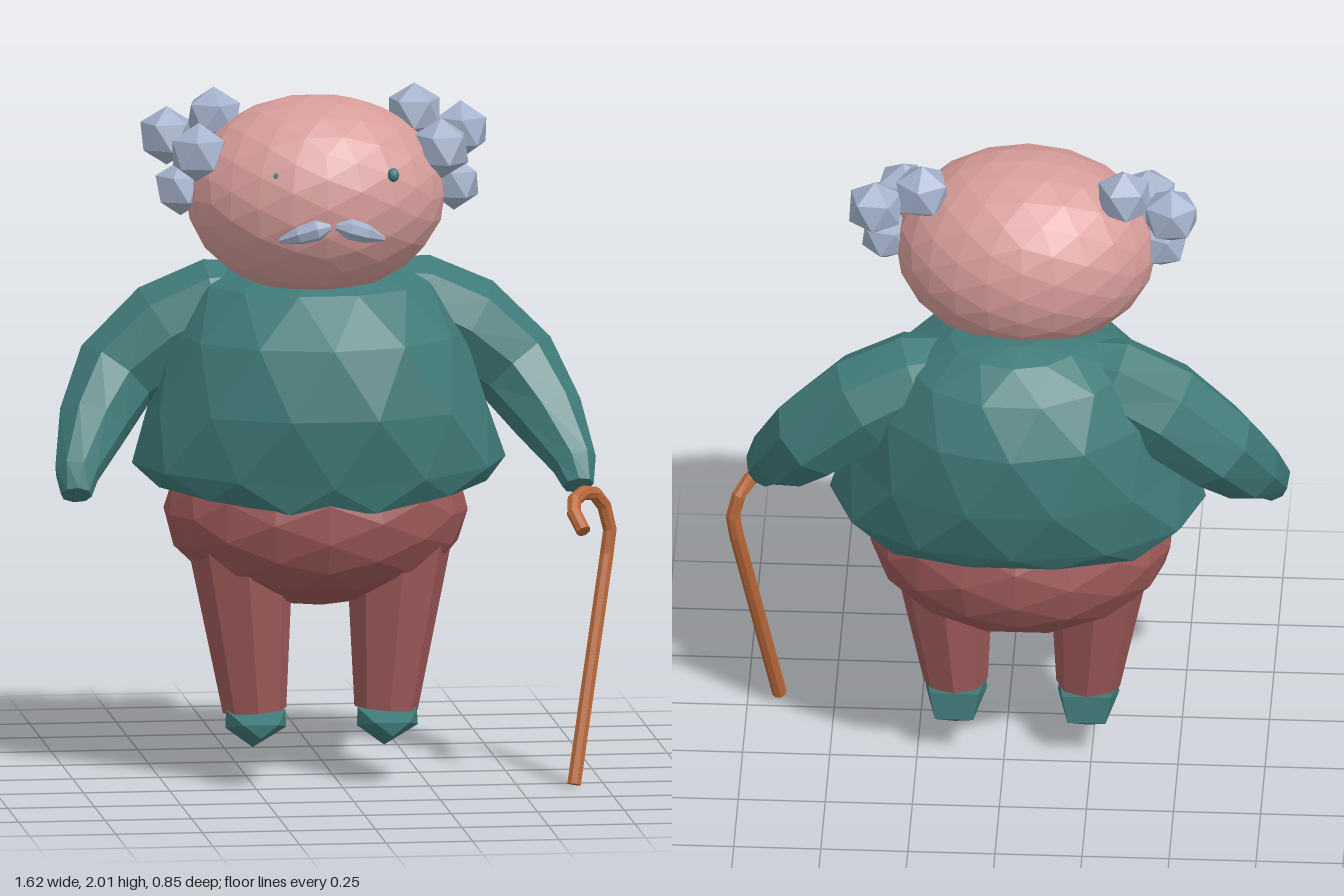
import * as THREE from 'three';
import { ConvexGeometry } from 'three/addons/geometries/ConvexGeometry.js';

const V = (x, y, z) => new THREE.Vector3(x, y, z);
const CX = -0.04; // the figure's own middle line

// Skin a list of equal-length rings, closing both ends
function skin(rings) {
  const n = rings[0].length, pos = [], idx = [];
  const mid = r => r.reduce((s, p) => s.add(p), V(0, 0, 0)).divideScalar(n);
  for (const r of rings) for (const p of r) pos.push(p.x, p.y, p.z);
  for (const c of [mid(rings[0]), mid(rings.at(-1))]) pos.push(c.x, c.y, c.z);
  const last = rings.length - 1, c0 = n * rings.length;
  for (let i = 0; i < n; i++) {
    const j = (i + 1) % n;
    for (let k = 0; k < last; k++) {
      const a = k * n, b = a + n;
      idx.push(a + i, a + j, b + i, a + j, b + j, b + i);
    }
    idx.push(c0, j, i, c0 + 1, last * n + i, last * n + j);
  }
  const g = new THREE.BufferGeometry();
  g.setAttribute('position', new THREE.Float32BufferAttribute(pos, 3));
  g.setIndex(idx);
  const flat = g.toNonIndexed();
  flat.computeVertexNormals();
  return flat;
}

// Tapered tube through [x, y, z, radius] points
function limb(pts, sides, ref = V(0, 0, 1)) {
  const p = pts.map(q => V(q[0], q[1], q[2]));
  return skin(p.map((c, k) => {
    const d = p[Math.min(k + 1, p.length - 1)].clone().sub(p[Math.max(k - 1, 0)]).normalize();
    const u = ref.clone().cross(d).normalize(), v = d.clone().cross(u);
    return Array.from({ length: sides }, (_, i) => {
      const a = i / sides * Math.PI * 2;
      return c.clone().addScaledVector(u, Math.cos(a) * pts[k][3]).addScaledVector(v, Math.sin(a) * pts[k][3]);
    });
  }));
}

export function createModel() {
  const model = new THREE.Group();
  const mat = (name, color) => {
    const m = new THREE.MeshStandardMaterial({ color, flatShading: true });
    m.name = name;
    return m;
  };
  const teal = mat('teal cloth', 0x3f7a78);
  const skinTone = mat('skin', 0xd69c99);
  const red = mat('trouser red', 0x9c5858);
  const grey = mat('grey hair', 0xa3b1ca);
  const wood = mat('cane wood', 0xb8683a);
  const add = (name, geo, material, x = 0, y = 0, z = 0) => {
    const m = new THREE.Mesh(geo, material);
    m.name = name;
    m.position.set(x, y, z);
    model.add(m);
    return m;
  };

  // Jumper: rings of [y, half width, front z, back z, hem lift], each turned half a step
  const N = 12;
  const rings = [
    [0.86, 0.36, 0.25, -0.25, 0], [0.785, 0.49, 0.35, -0.33, 0.07], [0.88, 0.54, 0.38, -0.37, 0.03],
    [1.08, 0.49, 0.42, -0.425, 0], [1.28, 0.42, 0.38, -0.43, 0], [1.42, 0.33, 0.25, -0.36, 0],
    [1.5, 0.19, 0.06, -0.27, 0], [1.525, 0.07, -0.09, -0.19, 0],
  ].map(([y, rx, zf, zb, lift], k) => Array.from({ length: N }, (_, i) => {
    const a = (i + k / 2) / N * Math.PI * 2, s = Math.sin(a);
    const up = lift * Math.max(Math.abs(Math.cos(a)), s);
    return V(CX + rx * Math.cos(a), y + up, (zf + zb) / 2 - s * (zf - zb) / 2);
  }));
  add('jumper', skin(rings), teal);

  // Head
  add('head', new THREE.IcosahedronGeometry(1, 3), skinTone, -0.06, 1.695, 0.088).scale.set(0.375, 0.288, 0.3);

  // Trouser seat
  add('trouserSeat', new THREE.IcosahedronGeometry(1, 2), red, -0.05, 0.77, 0.015).scale.set(0.44, 0.28, 0.345);

  // Curl geometry with one corner pointing up
  const curl = new THREE.IcosahedronGeometry(1, 0).rotateZ(-0.5536);

  for (const s of [-1, 1]) {
    const side = s > 0 ? 'left' : 'right';

    // Sleeve, bent at the elbow and tapering to the hand
    add(side + 'Arm', limb([
      [0.16, 1.38, -0.08, 0.1], [0.28, 1.355, -0.09, 0.135], [0.43, 1.28, -0.11, 0.145],
      [0.58, 1.15, -0.1, 0.13], [0.66, 1.02, 0.0, 0.105], [0.72, 0.9, 0.125, 0.065], [0.725, 0.845, 0.165, 0.045],
    ].map(([x, y, z, r]) => [-0.035 + s * x, y, z, r]), 8), teal);

    // Trouser leg
    add(side + 'Leg', limb([
      [-0.047 + s * 0.19, 0.2, 0.1, 0.092], [-0.047 + s * 0.235, 0.78, 0.08, 0.165],
    ], 8), red);

    // Shoe
    const shoe = [];
    for (const m of [-1, 1]) shoe.push(
      V(m * 0.05, 0.18, 0.255), V(m * 0.088, 0.155, 0.13), V(m * 0.085, 0.205, 0.13),
      V(m * 0.055, 0.125, 0), V(m * 0.07, 0.21, 0.005));
    shoe.push(V(0, 0.14, 0.25), V(0, 0.085, 0.055));
    add(side + 'Shoe', new ConvexGeometry(shoe), teal, -0.047 + s * 0.19);

    // Hair curls
    for (const [x, y, z, r] of [[0.29, 1.915, 0.015, 0.085], [0.425, 1.86, 0.01, 0.085],
      [0.35, 1.83, 0.155, 0.088], [0.395, 1.72, 0.09, 0.08]]) {
      const c = add(side + 'HairCurl', curl, grey, -0.055 + s * x, y, z);
      c.scale.setScalar(r);
      c.rotation.y = s * x * 5;
    }

    // Eye
    add(side + 'Eye', new THREE.IcosahedronGeometry(0.018, 1), teal, -0.033 + s * 0.168, 1.783, 0.328).scale.y = 1.15;

    // Moustache half
    add(side + 'Moustache', limb([
      [0.008, 1.645, 0.385, 0.01], [0.045, 1.638, 0.388, 0.031],
      [0.095, 1.622, 0.375, 0.028], [0.15, 1.603, 0.355, 0.008],
    ].map(([x, y, z, r]) => [-0.045 + s * x, y, z, r]), 7), grey);
  }

  // Walking cane with hooked handle
  add('cane', limb([
    [0.66, 0, 0.31], [0.775, 0.64, 0.145], [0.785, 0.71, 0.138], [0.768, 0.78, 0.142], [0.738, 0.82, 0.165],
    [0.7, 0.83, 0.205], [0.668, 0.815, 0.25], [0.663, 0.785, 0.285], [0.685, 0.738, 0.335],
  ].map(p => [...p, 0.021]), 8, V(0.85, 0, 0.5)), wood);

  return model;
}
